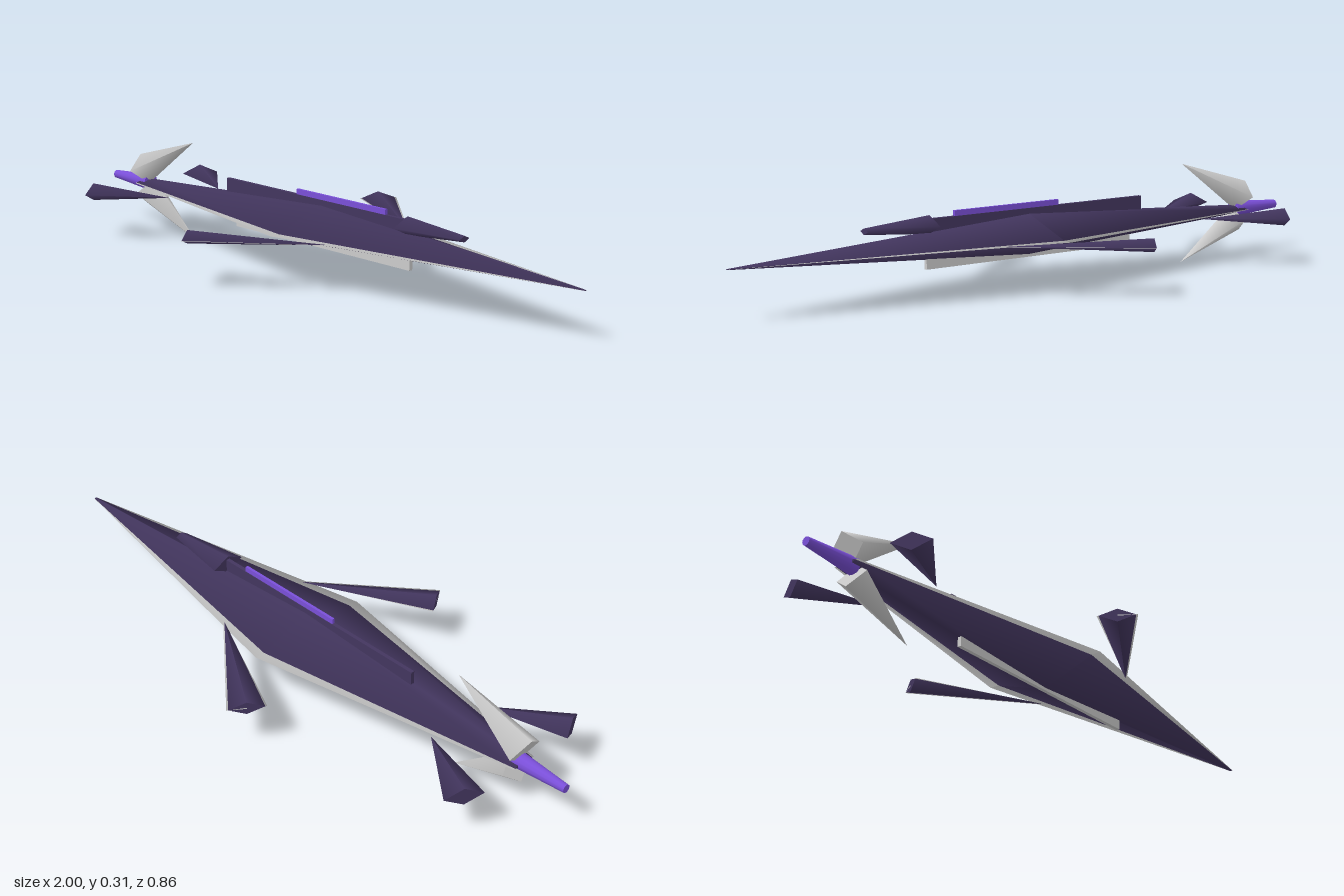
import * as THREE from 'three';

const AXIS = 0.148; // height of the ship's long axis
const grey = new THREE.MeshStandardMaterial({ color: 0xcccccc });
const dark = new THREE.MeshStandardMaterial({ color: 0x43365f });
const violet = new THREE.MeshStandardMaterial({ color: 0x7a4fd8 });
const UP = new THREE.Vector3(0, 1, 0);
const SIDE = new THREE.Vector3(0, 0, 1);

// Tapered spar between two points: a diamond section (or rounder with more sides).
// halfWidth lies across the spar, halfDepth along "normal"; start = size at "from" relative to "to".
function spar(name, material, from, to, halfWidth, halfDepth, { start = 0, normal = UP, sides = 4 } = {}) {
  const a = new THREE.Vector3(...from), b = new THREE.Vector3(...to);
  const dir = b.clone().sub(a);
  const length = dir.length();
  dir.normalize();
  const across = dir.clone().cross(normal);
  const geometry = new THREE.CylinderGeometry(1, start, length, sides);
  geometry.scale(halfDepth === 0 ? 1 : halfWidth, 1, halfDepth);
  geometry.applyMatrix4(new THREE.Matrix4().makeBasis(across, dir, normal));
  const mid = a.add(b).multiplyScalar(0.5);
  geometry.translate(mid.x, mid.y, mid.z);
  const mesh = new THREE.Mesh(geometry, material);
  mesh.name = name;
  return mesh;
}

// Box given by its x and y ranges, centred on z = 0
function strip(name, material, x0, x1, y0, y1, depth) {
  const mesh = new THREE.Mesh(new THREE.BoxGeometry(x1 - x0, y1 - y0, depth), material);
  mesh.position.set((x0 + x1) / 2, (y0 + y1) / 2, 0);
  mesh.name = name;
  return mesh;
}

// Long nose and shorter tail meeting at the widest section
function spindle(name, material, halfWidth, halfDepth, tail) {
  const group = new THREE.Group();
  group.name = name;
  group.add(
    spar(name + 'Nose', material, [1, AXIS, 0], [0, AXIS, 0], halfWidth, halfDepth, { start: 0.025 }),
    spar(name + 'Tail', material, [-0.85, AXIS, 0], [0, AXIS, 0], halfWidth, halfDepth, { start: tail })
  );
  return group;
}

export function createModel() {
  const ship = new THREE.Group();
  ship.name = 'ship';

  // Hull with a thin trim plate around its waist
  ship.add(spindle('hull', dark, 0.177, 0.062, 0.2));
  ship.add(spindle('waistTrim', grey, 0.205, 0.008, 0.2));

  // Ridge, light strip, canopy and keel
  ship.add(strip('dorsalRidge', dark, -0.43, 0.36, 0.17, 0.225, 0.012));
  ship.add(strip('lightStrip', violet, -0.11, 0.265, 0.222, 0.241, 0.009));
  ship.add(spar('canopy', dark, [0.57, 0.208, 0], [0.35, 0.208, 0], 0.055, 0.027, { start: 0.35 }));
  ship.add(strip('keel', grey, -0.385, 0.365, 0.08, 0.12, 0.012));

  // Swept wings with thin edge trim, and tail planes
  for (const s of [1, -1]) {
    const side = s > 0 ? 'right' : 'left';
    ship.add(spar(side + 'Wing', dark, [0.2, AXIS, s * 0.15], [-0.16, AXIS, s * 0.383], 0.053, 0.02));
    ship.add(spar(side + 'WingTrim', grey, [0.205, AXIS, s * 0.15], [-0.16, AXIS, s * 0.383], 0.058, 0.002));
    ship.add(spar(side + 'TailPlane', dark, [-0.6, AXIS, s * 0.1], [-0.835, AXIS, s * 0.218], 0.058, 0.027));
  }

  // Vertical fins, pointing forward and away from the hull
  ship.add(spar('upperFin', grey, [-0.6, 0.31, 0], [-0.85, 0.19, 0], 0.05, 0.06, { normal: SIDE }));
  ship.add(spar('lowerFin', grey, [-0.6, 0, 0], [-0.825, 0.12, 0], 0.045, 0.055, { normal: SIDE }));

  // Exhaust
  ship.add(spar('exhaust', violet, [-1, AXIS + 0.002, 0], [-0.82, AXIS + 0.002, 0], 0.026, 0.026, { start: 0.5, sides: 12 }));

  return ship;
}
